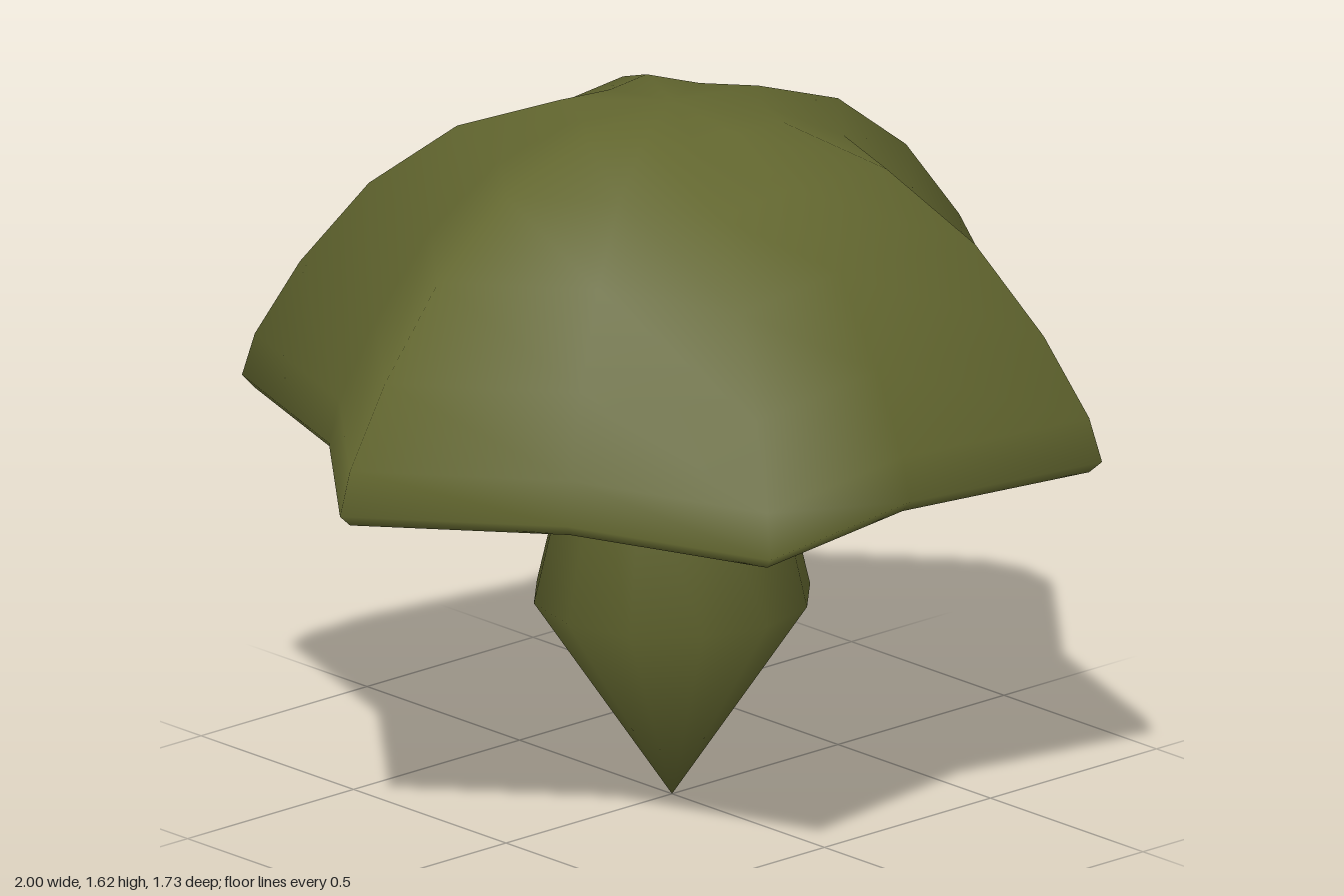
import * as THREE from 'three';
import { mergeVertices } from 'three/addons/utils/BufferGeometryUtils.js';

const SIDES = 12;
const NOTCH = 0.78; // radius of the star's inner corners relative to its points

// Revolve a [radius, height, star amount] profile; star 1 pulls every other side inwards.
function starLathe(profile) {
  const points = profile.map(([r, y]) => new THREE.Vector2(r, y));
  const geometry = new THREE.LatheGeometry(points, SIDES);
  const position = geometry.attributes.position;
  for (let side = 0; side <= SIDES; side += 2) {
    profile.forEach(([, , star = 1], row) => {
      const i = side * profile.length + row;
      const k = 1 - (1 - NOTCH) * star;
      position.setX(i, position.getX(i) * k);
      position.setZ(i, position.getZ(i) * k);
    });
  }
  // Weld the seam and the poles so the shading runs smoothly round the form
  geometry.deleteAttribute('uv');
  geometry.deleteAttribute('normal');
  const welded = mergeVertices(geometry, 1e-4);
  welded.computeVertexNormals();
  return welded;
}

export function createModel() {
  const model = new THREE.Group();
  model.name = 'mushroom';

  // Round stem rising from a point and flowing into the underside of the cap
  const stem = [[0, 0, 0], [0.314, 0.47, 0], [0.223, 0.86, 0], [0.18, 1.14, 0]];
  // Shallow conical underside, open towards the rim
  const underside = [[0.62, 1.04], [0.94, 0.87]];
  // Thin lip, then the star-shaped dome up to its crown
  const dome = [
    [0.97, 0.853], [1, 0.88], [0.97, 0.98], [0.865, 1.16], [0.705, 1.36],
    [0.5, 1.515], [0.26, 1.6], [0, 1.625],
  ];

  const body = new THREE.Mesh(
    starLathe([...stem, ...underside, ...dome]),
    new THREE.MeshStandardMaterial({ color: 0x62662f }),
  );
  body.name = 'stemAndCap';
  model.add(body);
  return model;
}
